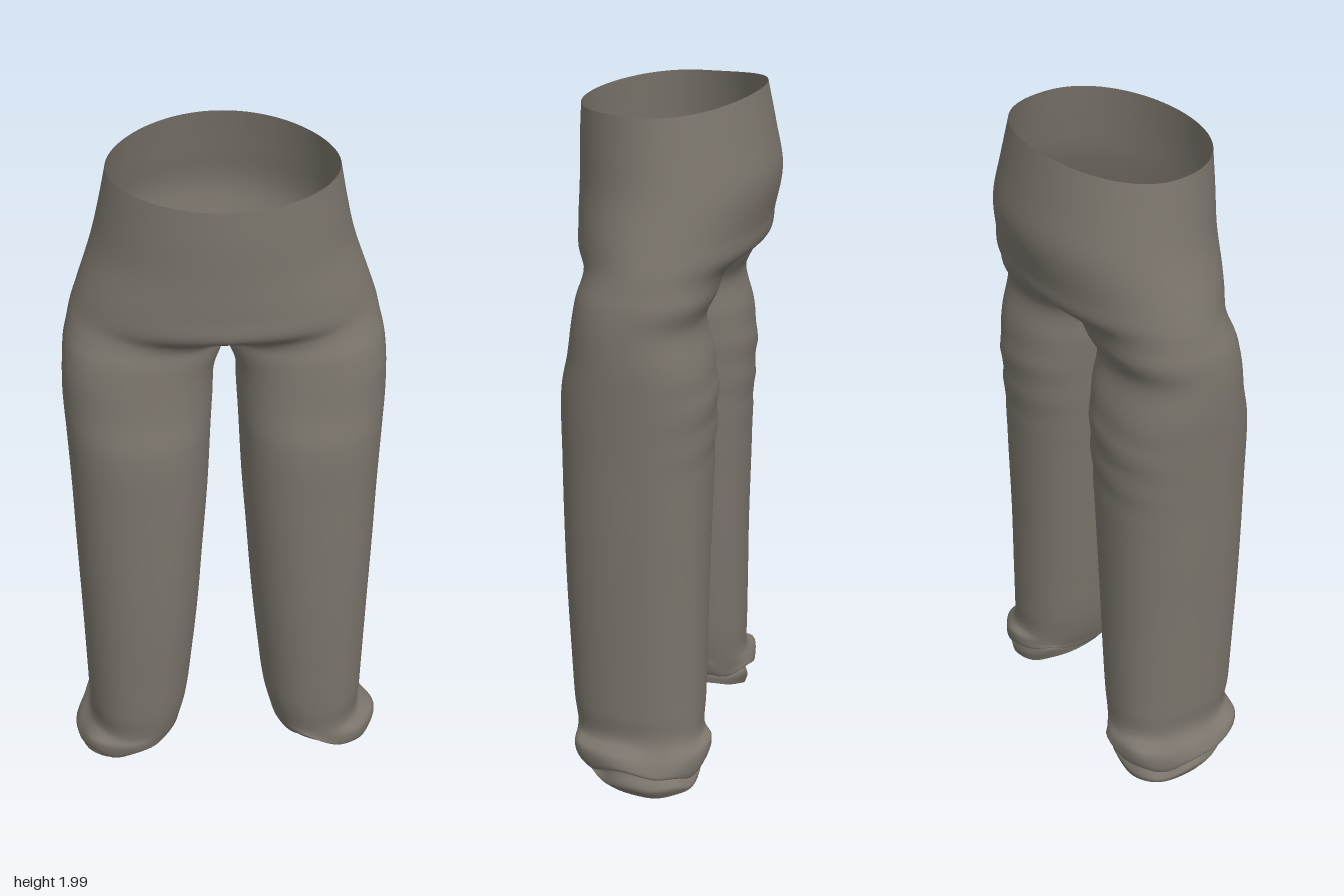
import * as THREE from 'three';
import { mergeVertices } from 'three/addons/utils/BufferGeometryUtils.js';

const COLS = 56; // points around one half
const STEPS = 6; // rows between neighbouring section rings

// Hip sections: y side, y front, y back, half width, front z, back z
const HIPS = [
  [1.965, 1.95, 2.0, 0.312, 0.27, -0.232],
  [1.86, 1.85, 1.88, 0.332, 0.274, -0.256],
  [1.75, 1.74, 1.76, 0.357, 0.274, -0.275],
  [1.63, 1.63, 1.64, 0.398, 0.274, -0.252],
  [1.565, 1.56, 1.575, 0.42, 0.268, -0.238],
];

// Leg sections: y, inner x, outer x, front z, back z
const CROTCH = [1.47, 0, 0.442, 0.225, -0.15];
const LEGS = [
  CROTCH,
  [1.4, 0.028, 0.448, 0.236, -0.122],
  [1.3, 0.034, 0.45, 0.25, -0.145],
  [1.2, 0.04, 0.445, 0.27, -0.158],
  [1.0, 0.05, 0.436, 0.272, -0.15],
  [0.8, 0.065, 0.43, 0.27, -0.145],
  [0.6, 0.08, 0.423, 0.265, -0.14],
  [0.4, 0.1, 0.417, 0.255, -0.138],
  [0.25, 0.118, 0.413, 0.246, -0.136],
  [0.165, 0.138, 0.412, 0.235, -0.136],
];

// Crumpled cuff sections: leg section, then y tilt inner/outer, y tilt front/back, crumple
const CUFFS = [
  [0.135, 0.145, 0.45, 0.242, -0.152, 0.008, 0.005, 0.012],
  [0.1, 0.155, 0.452, 0.235, -0.148, 0.02, 0.012, 0.016],
  [0.098, 0.172, 0.425, 0.21, -0.122, 0.026, 0.012, 0.012],
  [0.07, 0.172, 0.442, 0.2, -0.135, 0.034, 0.018, 0.012],
  [0.042, 0.18, 0.43, 0.17, -0.128, 0.03, 0.016, 0.005],
];

function hipPoint([ySide, yFront, yBack, rx, zf, zb], u) {
  const c = Math.cos(u * Math.PI);
  const y = ySide + (c > 0 ? yFront - ySide : yBack - ySide) * c * c;
  return new THREE.Vector3(rx * Math.sin(u * Math.PI), y, (zf + zb) / 2 + (zf - zb) / 2 * c);
}

// The ring starts on the inner side and runs front, outside, back
function legPoint([y, xIn, xOut, zf, zb, tiltX = 0, tiltZ = 0, crumple = 0], u, phase) {
  const a = u * Math.PI * 2;
  const soft = (v) => Math.sign(v) * Math.abs(v) ** 0.88;
  const c = soft(Math.cos(a)), s = soft(Math.sin(a));
  const wave = crumple * (Math.sin(3 * a + phase + y * 40) + 0.5 * Math.sin(7 * a - phase));
  return new THREE.Vector3(
    (xIn + xOut) / 2 - ((xOut - xIn) / 2 + wave * 0.5) * c,
    Math.max(0, y + tiltX * c + tiltZ * s + wave),
    (zf + zb) / 2 + ((zf - zb) / 2 + wave * 0.5) * s,
  );
}

// Grid of points for one half, splined down through all the sections
function halfGrid(phase) {
  const crotchRow = (HIPS.length + 1) * STEPS;
  const columns = [];
  for (let i = 0; i <= COLS; i++) {
    const u = i / COLS;
    const fold = hipPoint(HIPS.at(-1), u).lerp(legPoint(CROTCH, u, 0), 0.5);
    const points = [
      ...HIPS.map((ring) => hipPoint(ring, u)),
      fold,
      ...[...LEGS, ...CUFFS].map((ring) => legPoint(ring, u, phase)),
    ];
    const column = new THREE.CatmullRomCurve3(points).getPoints((points.length - 1) * STEPS);
    column.forEach((p, row) => {
      p.x = Math.max(0, p.x);
      if (row <= crotchRow && (i === 0 || i === COLS)) p.x = 0;
      // Soft creases across the back of the thigh
      const near = Math.exp(-(((p.y - 1.12) / 0.13) ** 2));
      if (row > crotchRow) p.z += 0.004 * near * Math.sin(p.y * 55 + p.x * 9) * Math.max(0, -Math.sin(u * Math.PI * 2));
    });
    columns.push(column);
  }
  // Close the inside leg
  for (let row = crotchRow; row < columns[0].length; row++) {
    columns[0][row].lerp(columns[COLS][row], 0.5);
    columns[COLS][row].copy(columns[0][row]);
  }
  return columns;
}

export function createModel() {
  const group = new THREE.Group();
  group.name = 'trousers';
  const cloth = new THREE.MeshStandardMaterial({ color: 0x7a746b, side: THREE.DoubleSide });
  cloth.name = 'taupe cloth';

  const positions = [], index = [];
  const halves = [[1, 0.6], [-1, 2.1]].map(([side, phase]) => ({ side, grid: halfGrid(phase) }));
  const rows = halves[0].grid[0].length;
  for (const { side, grid } of halves)
    for (const column of grid)
      for (const p of column) positions.push(side * p.x, p.y, p.z);

  // Faces row by row, so that each part is one run of the index
  for (let r = 0; r < rows - 1; r++) {
    halves.forEach(({ side }, h) => {
      for (let i = 0; i < COLS; i++) {
        const a = (h * (COLS + 1) + i) * rows + r, b = a + 1, c = a + rows, d = c + 1;
        if (side > 0) index.push(a, b, c, c, b, d);
        else index.push(a, c, b, c, d, b);
      }
    });
  }
  let whole = new THREE.BufferGeometry();
  whole.setAttribute('position', new THREE.Float32BufferAttribute(positions, 3));
  whole.setIndex(index);
  whole = mergeVertices(whole, 1e-5);
  whole.computeVertexNormals();

  // Split into parts that share smooth normals
  const all = Array.from(whole.index.array);
  const perRow = COLS * 2 * 6;
  const legStart = (HIPS.length + 1) * STEPS;
  const cuffStart = legStart + (LEGS.length - 1) * STEPS;
  const parts = [['hips', 0, legStart], ['legs', legStart, cuffStart], ['cuffs', cuffStart, rows - 1]];
  for (const [name, from, to] of parts) {
    const geometry = new THREE.BufferGeometry();
    geometry.setAttribute('position', whole.attributes.position);
    geometry.setAttribute('normal', whole.attributes.normal);
    geometry.setIndex(all.slice(from * perRow, to * perRow));
    const mesh = new THREE.Mesh(geometry, cloth);
    mesh.name = name;
    group.add(mesh);
  }
  return group;
}
